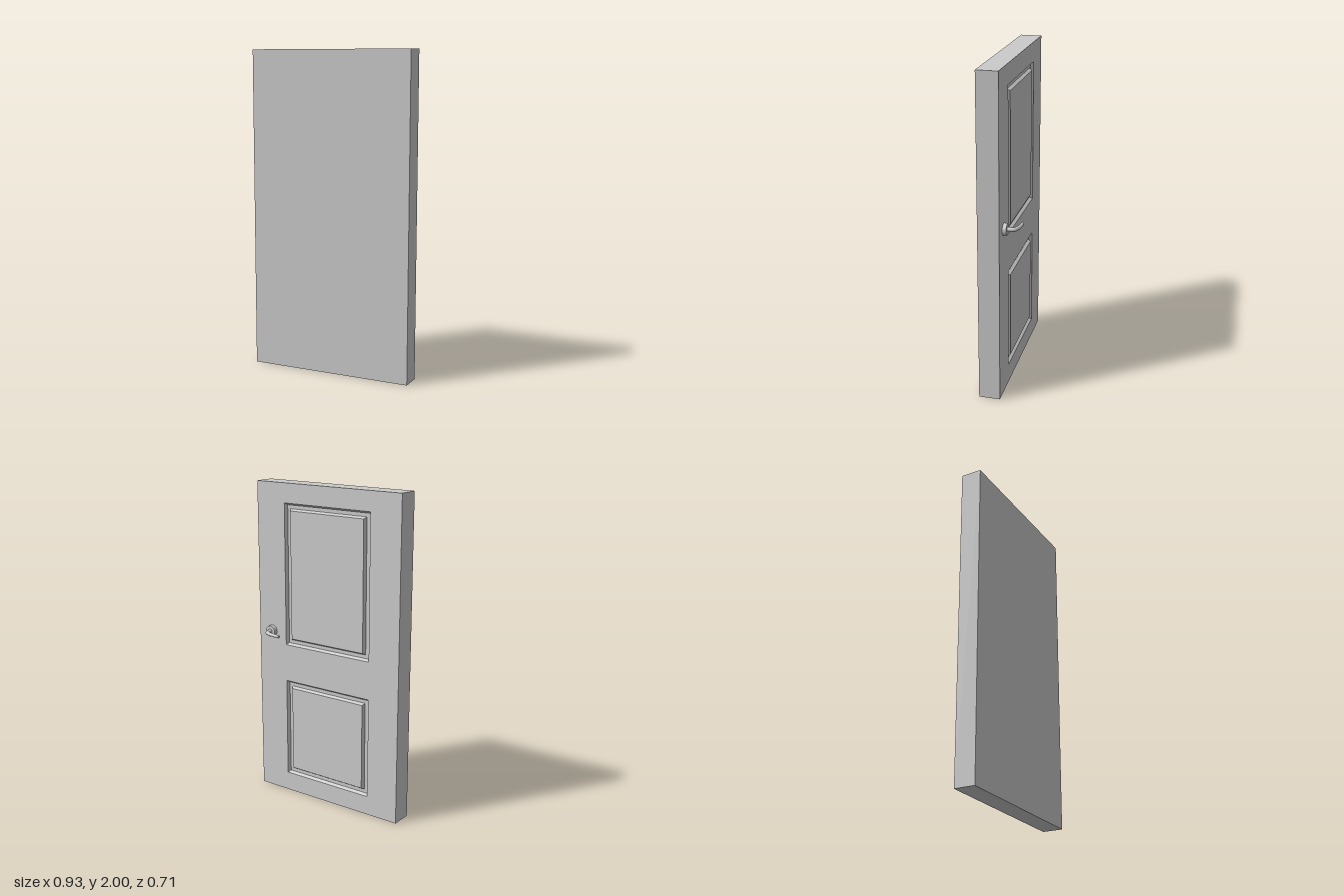
import * as THREE from 'three';

const W = 1.046, H = 2, T = 0.129, FACE = T / 2;
const material = new THREE.MeshStandardMaterial({ color: 0xcccccc });

function part(name, geometry, parent) {
  const mesh = new THREE.Mesh(geometry, material);
  mesh.name = name;
  parent.add(mesh);
  return mesh;
}

// Corners of a panel rectangle, counter-clockwise, shrunk by an inset
function corners({ x0, x1, y0, y1 }, inset, z) {
  const l = x0 + inset, r = x1 - inset, b = y0 + inset, t = y1 - inset;
  return [[l, b, z], [r, b, z], [r, t, z], [l, t, z]];
}

// Sunken groove around a raised field: nested rectangles joined by quads
function panelGeometry(rect) {
  const profile = [[0, 0], [0.012, -0.018], [0.034, -0.018], [0.045, 0]];
  const rings = profile.map(([inset, dz]) => corners(rect, inset, FACE + dz));
  const pos = [];
  const quad = (a, b, c, d) => pos.push(...a, ...b, ...c, ...a, ...c, ...d);
  for (let i = 0; i < rings.length - 1; i++) {
    for (let k = 0; k < 4; k++) {
      const n = (k + 1) % 4;
      quad(rings[i][k], rings[i][n], rings[i + 1][n], rings[i + 1][k]);
    }
  }
  quad(...rings[rings.length - 1]);
  const g = new THREE.BufferGeometry();
  g.setAttribute('position', new THREE.Float32BufferAttribute(pos, 3));
  g.computeVertexNormals();
  return g;
}

// Lever: a bent tube that narrows towards its tip
function leverGeometry(curve, segments, sides, r0, r1) {
  const g = new THREE.TubeGeometry(curve, segments, r0, sides);
  const p = g.attributes.position, v = new THREE.Vector3();
  for (let i = 0; i <= segments; i++) {
    const t = i / segments, centre = curve.getPointAt(t);
    const shrink = 1 - (1 - r1 / r0) * t;
    for (let j = 0; j <= sides; j++) {
      const k = i * (sides + 1) + j;
      v.fromBufferAttribute(p, k).sub(centre).multiplyScalar(shrink).add(centre);
      p.setXYZ(k, v.x, v.y, v.z);
    }
  }
  g.computeBoundingSphere();
  return g;
}

export function createModel() {
  const model = new THREE.Group();
  model.name = 'door';

  // The leaf stands half open; its panelled side is local +z
  const leaf = new THREE.Group();
  leaf.name = 'doorLeaf';
  leaf.rotation.y = Math.PI - Math.atan2(0.61, 0.85);
  model.add(leaf);

  // Slab without its panelled face
  const slab = new THREE.BoxGeometry(W, H, T).translate(0, H / 2, 0);
  const index = Array.from(slab.index.array);
  index.splice(24, 6);
  slab.setIndex(index);
  slab.clearGroups();
  part('doorSlab', slab, leaf);

  // Panelled face with an opening for each panel
  const panels = {
    upperPanel: { x0: -0.313, x1: 0.313, y0: 0.99, y1: 1.88 },
    lowerPanel: { x0: -0.313, x1: 0.313, y0: 0.12, y1: 0.753 },
  };
  const outline = (pts) => pts.map(([x, y]) => new THREE.Vector2(x, y));
  const face = new THREE.Shape(outline(corners({ x0: -W / 2, x1: W / 2, y0: 0, y1: H }, 0, 0)));
  for (const [name, rect] of Object.entries(panels)) {
    face.holes.push(new THREE.Path(outline(corners(rect, 0, 0)).reverse()));
    part(name, panelGeometry(rect), leaf);
  }
  part('doorFace', new THREE.ShapeGeometry(face).translate(0, 0, FACE), leaf);

  // Handle: round rose and bent lever
  const handle = new THREE.Group();
  handle.name = 'handle';
  handle.position.set(-0.422, 1.065, FACE);
  leaf.add(handle);

  const rose = new THREE.CylinderGeometry(0.035, 0.037, 0.023, 32);
  part('handleRose', rose.rotateX(Math.PI / 2).translate(0, 0, 0.0115), handle);

  const curve = new THREE.CatmullRomCurve3([
    [0, 0, 0.015], [0.005, 0, 0.048], [0.011, 0, 0.064], [0.028, 0, 0.073],
    [0.065, -0.002, 0.081], [0.118, -0.004, 0.083],
  ].map((p) => new THREE.Vector3(...p)));
  part('handleLever', leverGeometry(curve, 32, 16, 0.014, 0.009), handle);

  // Flat end of the lever
  const cap = part('leverEnd', new THREE.CircleGeometry(0.009, 16), handle);
  cap.position.copy(curve.getPointAt(1));
  cap.quaternion.setFromUnitVectors(new THREE.Vector3(0, 0, 1), curve.getTangentAt(1));

  return model;
}
